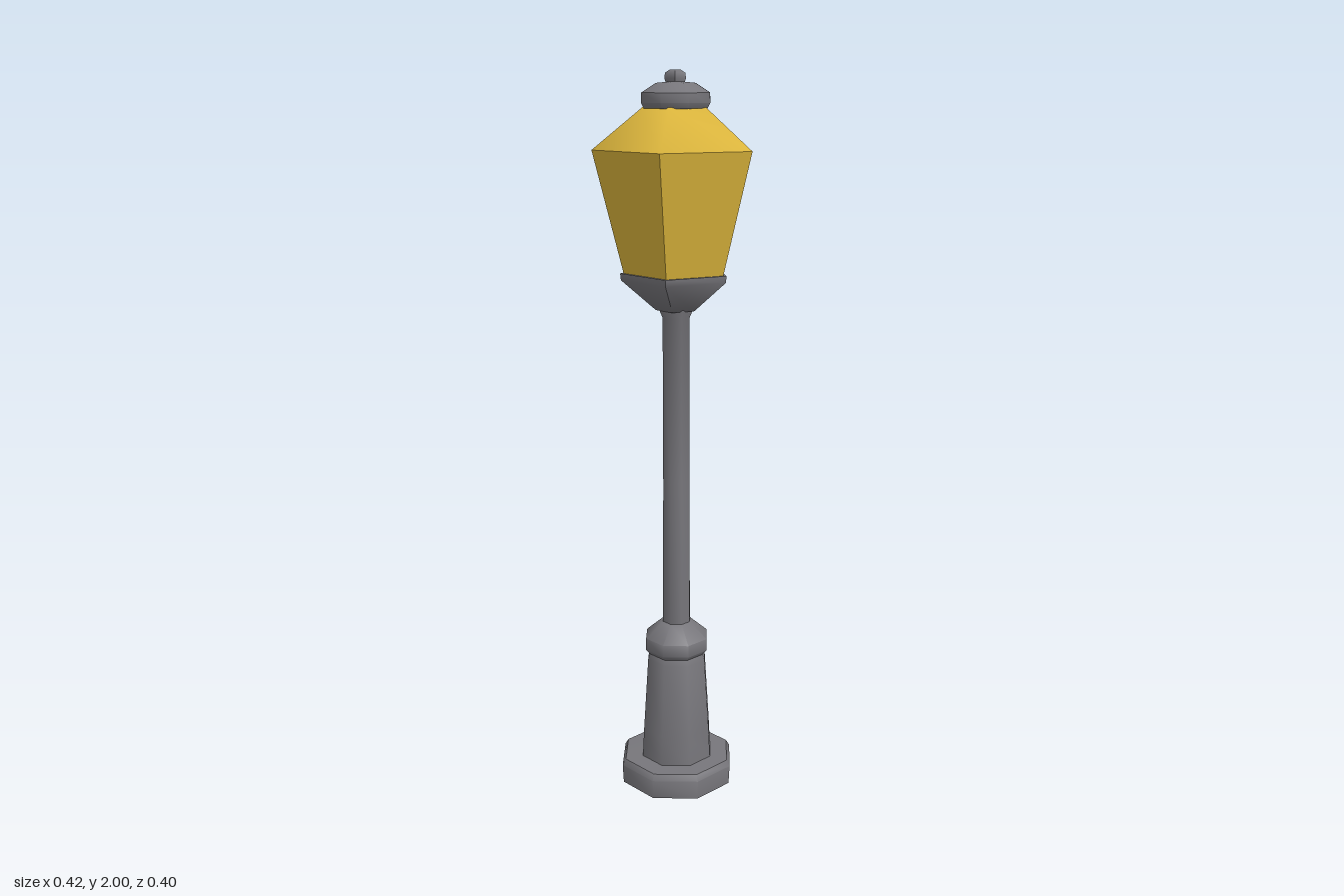
import * as THREE from 'three';
import { toCreasedNormals } from 'three/addons/utils/BufferGeometryUtils.js';

export function createModel() {
  const lamp = new THREE.Group();
  lamp.name = 'streetLamp';

  const iron = new THREE.MeshStandardMaterial({ color: 0x77767b });
  iron.name = 'greyIron';
  const glass = new THREE.MeshStandardMaterial({ color: 0xdab43c });
  glass.name = 'yellowGlass';

  // Turns a [radius, height] profile, listed bottom to top, into a faceted part
  function addTurned(name, material, sides, startAngle, profile) {
    const points = profile.map(([r, y]) => new THREE.Vector2(r, y));
    const lathe = new THREE.LatheGeometry(points, sides, startAngle);
    const mesh = new THREE.Mesh(toCreasedNormals(lathe, 0.87), material);
    mesh.name = name;
    mesh.position.z = 0.013;
    lamp.add(mesh);
    return mesh;
  }

  const flat8 = Math.PI / 8; // octagon with a flat side to the front
  const point5 = Math.PI; // pentagon with a corner to the back

  // Foot, tapered pedestal and ring
  addTurned('foot', iron, 8, flat8, [[0, 0], [0.165, 0], [0.168, 0.055], [0.158, 0.072], [0, 0.076]]);
  addTurned('pedestal', iron, 8, flat8, [[0.106, 0.065], [0.101, 0.16], [0.087, 0.375], [0.078, 0.4]]);
  addTurned('pedestalRing', iron, 8, flat8, [[0, 0.385], [0.078, 0.387], [0.093, 0.405], [0.093, 0.44], [0.042, 0.485], [0, 0.485]]);

  // Post with a small flare under the lantern
  addTurned('post', iron, 8, flat8, [[0.041, 0.47], [0.039, 0.9], [0.039, 1.36], [0.05, 1.385], [0.05, 1.4]]);

  // Five-sided lantern in its holder
  addTurned('lanternHolder', iron, 5, point5, [[0, 1.38], [0.055, 1.38], [0.148, 1.462], [0.15, 1.48], [0, 1.478]]);
  addTurned('lanternGlass', glass, 5, point5, [[0, 1.47], [0.138, 1.47], [0.22, 1.8], [0.087, 1.907], [0, 1.907]]);

  // Cap and square finial
  addTurned('cap', iron, 8, flat8, [[0, 1.904], [0.088, 1.904], [0.096, 1.918], [0.095, 1.943], [0.055, 1.967], [0, 1.972]]);
  const finial = addTurned('finial', iron, 4, Math.PI / 4, [[0.02, 1.96], [0.028, 1.978], [0.026, 1.992], [0.014, 2], [0, 2]]);
  finial.position.x = -0.003;

  return lamp;
}
